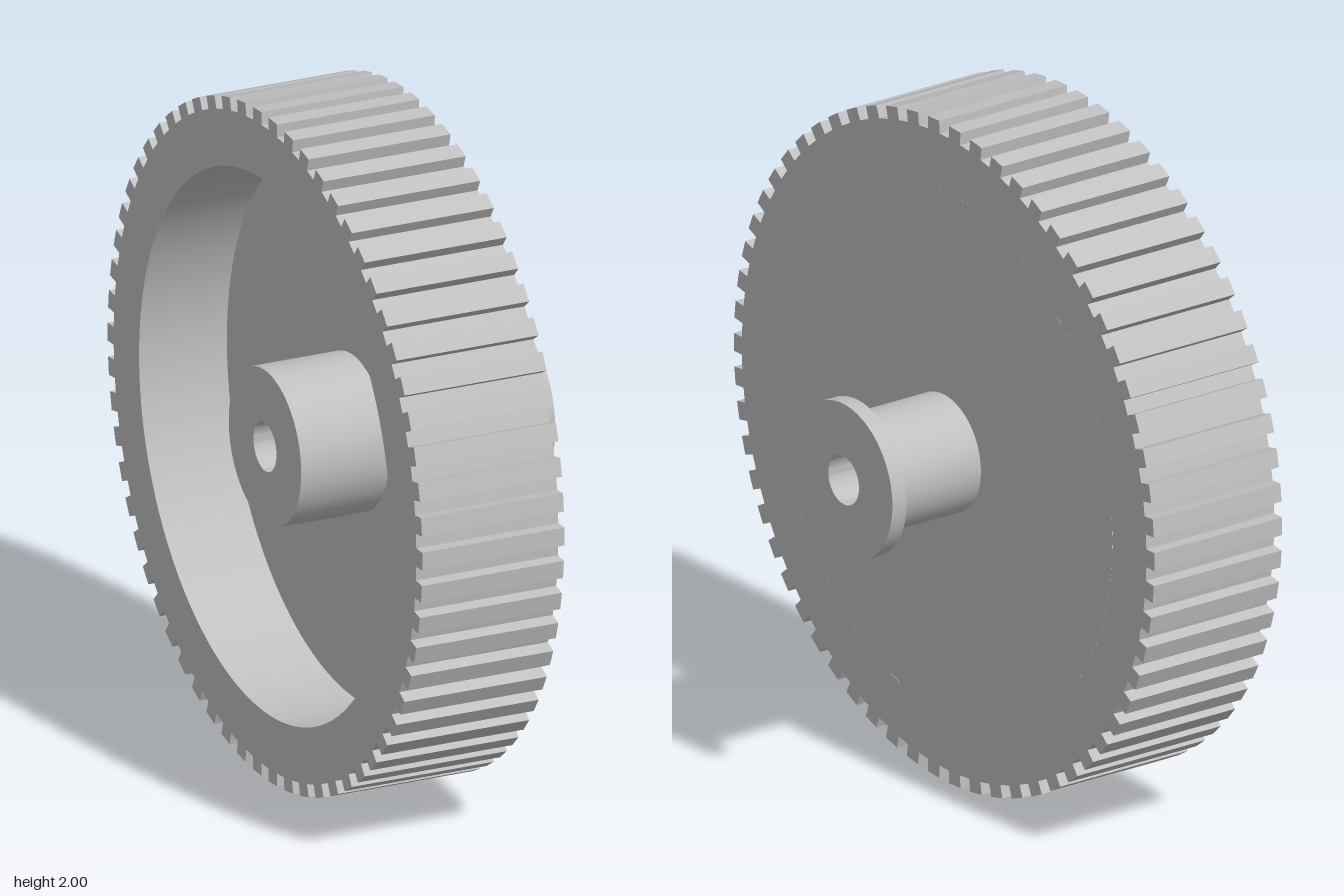
import * as THREE from 'three';
import { toCreasedNormals } from 'three/addons/utils/BufferGeometryUtils.js';

const TEETH = 62, TIP = 1, ROOT = 0.962, HALF_TOOTH = 0.027;
const RECESS = 0.8, BORE = 0.073;
const BACK = -0.4, FLOOR = -0.125, FACE = 0.045, FLANGE = 0.345, END = 0.395;

export function createModel() {
  const group = new THREE.Group();
  const steel = new THREE.MeshStandardMaterial({ color: 0xc0c0c0 });
  steel.name = 'steel grey';

  const add = (name, geometry) => {
    const mesh = new THREE.Mesh(toCreasedNormals(geometry, 0.35), steel);
    mesh.name = name;
    mesh.position.y = 1;
    group.add(mesh);
  };

  // Turned part: profile of [radius, x] pairs, spun about the x axis
  const turned = (name, profile) => {
    const points = profile.map(([r, x]) => new THREE.Vector2(r, x));
    add(name, new THREE.LatheGeometry(points, 96).rotateZ(-Math.PI / 2));
  };

  // Toothed rim: parallel-sided teeth with a round opening
  const outline = [];
  for (let i = 0; i < TEETH; i++) {
    const a = (i / TEETH) * Math.PI * 2;
    for (const [r, side] of [[ROOT, -1], [TIP, -1], [TIP, 1], [ROOT, 1]]) {
      const t = a + side * Math.asin(HALF_TOOTH / r);
      outline.push(new THREE.Vector2(r * Math.cos(t), r * Math.sin(t)));
    }
  }
  const rim = new THREE.Shape(outline);
  rim.holes.push(new THREE.Path().absarc(0, 0, RECESS, 0, Math.PI * 2, true));
  const rimGeometry = new THREE.ExtrudeGeometry(rim, {
    depth: FACE - BACK, bevelEnabled: false, curveSegments: 96,
  });
  add('toothedRim', rimGeometry.translate(0, 0, BACK).rotateY(Math.PI / 2));

  // Web closing the rim, recessed from the rear
  turned('webRear', [[0.23, FLOOR], [RECESS, FLOOR]]);
  turned('webFront', [[RECESS, FACE], [0.175, FACE]]);

  // Hubs, end flange and through bore
  turned('rearHub', [[BORE, BACK], [0.23, BACK], [0.23, FLOOR]]);
  turned('frontHub', [[0.175, FACE], [0.175, FLANGE]]);
  turned('endFlange', [[0.175, FLANGE], [0.232, FLANGE], [0.232, END], [BORE, END]]);
  turned('bore', [[BORE, END], [BORE, BACK]]);

  return group;
}
